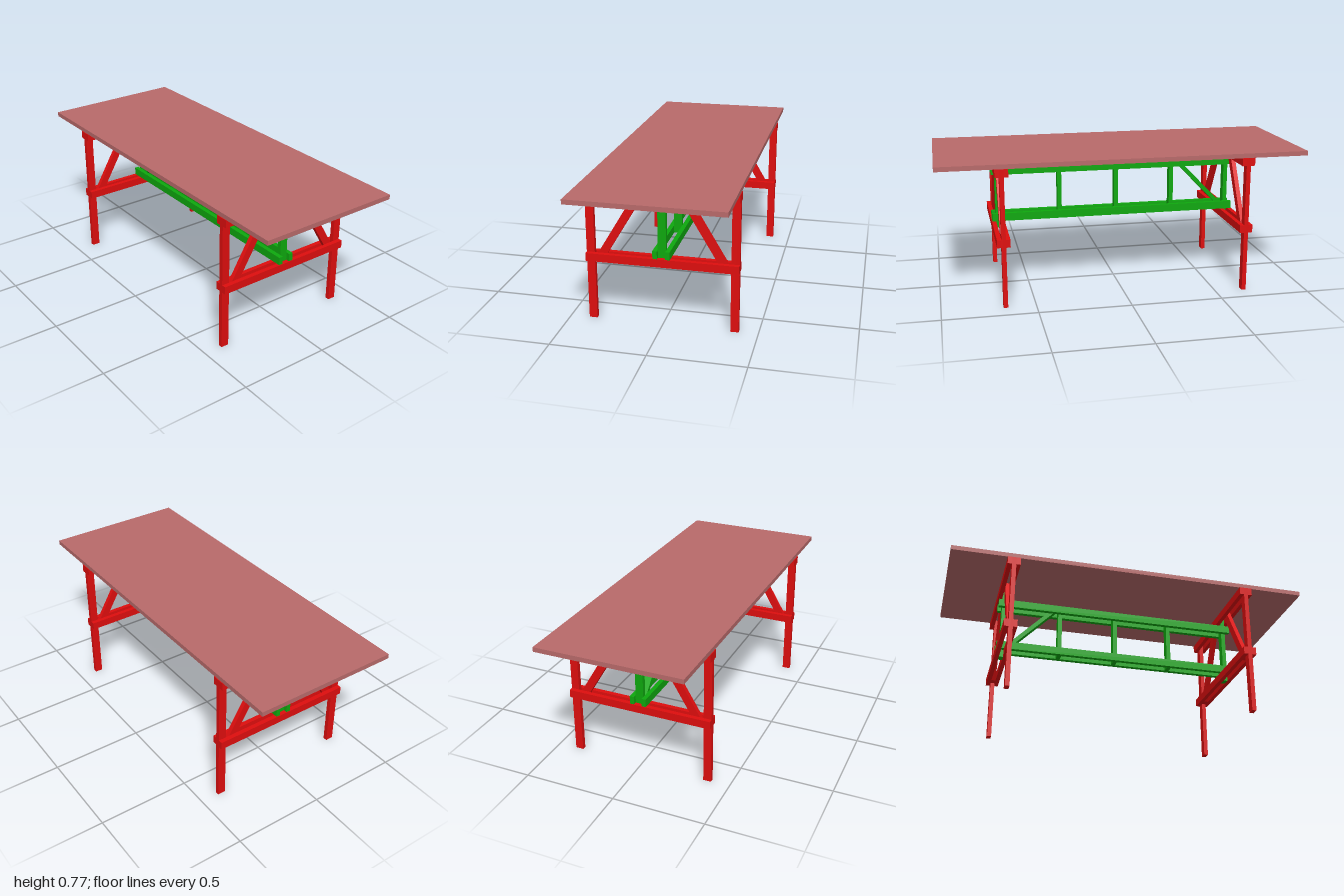
import * as THREE from 'three';

const T = 0.0235;   // board thickness
const W = 0.043;    // board width
const FRAME_Z = 0.662;
const RAIL_Y = [0.3545, 0.729];
const BEAM_Y = [0.3975, 0.6615];

const red = new THREE.MeshStandardMaterial({ color: 0xde0e0e });
const green = new THREE.MeshStandardMaterial({ color: 0x0ea80e });
const rose = new THREE.MeshStandardMaterial({ color: 0xb86a6a });

function board(parent, name, material, size, position) {
  const mesh = new THREE.Mesh(new THREE.BoxGeometry(...size), material);
  mesh.name = name;
  mesh.position.set(...position);
  parent.add(mesh);
  return mesh;
}

// Slanted board with level ends, centred through its depth
function slantedBoard(parent, name, material, corners, depth) {
  const shape = new THREE.Shape(corners.map(([x, y]) => new THREE.Vector2(x, y)));
  const geometry = new THREE.ExtrudeGeometry(shape, { depth, bevelEnabled: false });
  geometry.translate(0, 0, -depth / 2);
  const mesh = new THREE.Mesh(geometry, material);
  mesh.name = name;
  parent.add(mesh);
  return mesh;
}

// Trestle: legs and braces clamped between paired cross rails
function createTrestle(name) {
  const trestle = new THREE.Group();
  trestle.name = name;
  for (const side of [-1, 1]) {
    const label = side > 0 ? 'left' : 'right';
    board(trestle, label + 'Leg', red, [W, 0.75, T], [side * 0.3775, 0.375, 0]);
    slantedBoard(trestle, label + 'Brace', red, [
      [side * 0.362, 0.333], [side * 0.313, 0.333],
      [side * 0.065, 0.75], [side * 0.114, 0.75],
    ], T);
    for (const y of RAIL_Y) {
      const rail = y < 0.5 ? 'lower' : 'upper';
      board(trestle, rail + 'Rail', red, [0.798, W, T], [0, y, side * T]);
    }
  }
  board(trestle, 'centrePost', green, [W, 0.417, T], [0, 0.5415, 0]);
  return trestle;
}

export function createModel() {
  const table = new THREE.Group();
  table.name = 'trestleTable';

  board(table, 'tabletop', rose, [0.79, 0.025, 2], [0, 0.7625, 0]);

  for (const side of [-1, 1]) {
    const trestle = createTrestle(side > 0 ? 'frontTrestle' : 'backTrestle');
    trestle.position.z = side * FRAME_Z;
    table.add(trestle);
  }

  // Stretcher truss: paired beams, posts between them and one diagonal
  const stretcher = new THREE.Group();
  stretcher.name = 'stretcher';
  table.add(stretcher);
  for (const y of BEAM_Y) {
    for (const side of [-1, 1]) {
      board(stretcher, y < 0.5 ? 'lowerBeam' : 'upperBeam', green,
        [T, W, 1.388], [side * (W + T) / 2, y, 0]);
    }
  }
  for (const z of [0.313, -0.011, -0.336]) {
    board(stretcher, 'stretcherPost', green, [W, 0.307, T], [0, 0.5295, z]);
  }
  // Drawn in the side plane, then turned so its x runs towards -z
  const diagonal = slantedBoard(stretcher, 'stretcherDiagonal', green, [
    [0.624, 0.39], [0.656, 0.39], [0.37, 0.683], [0.338, 0.683],
  ], W);
  diagonal.rotation.y = Math.PI / 2;

  return table;
}
